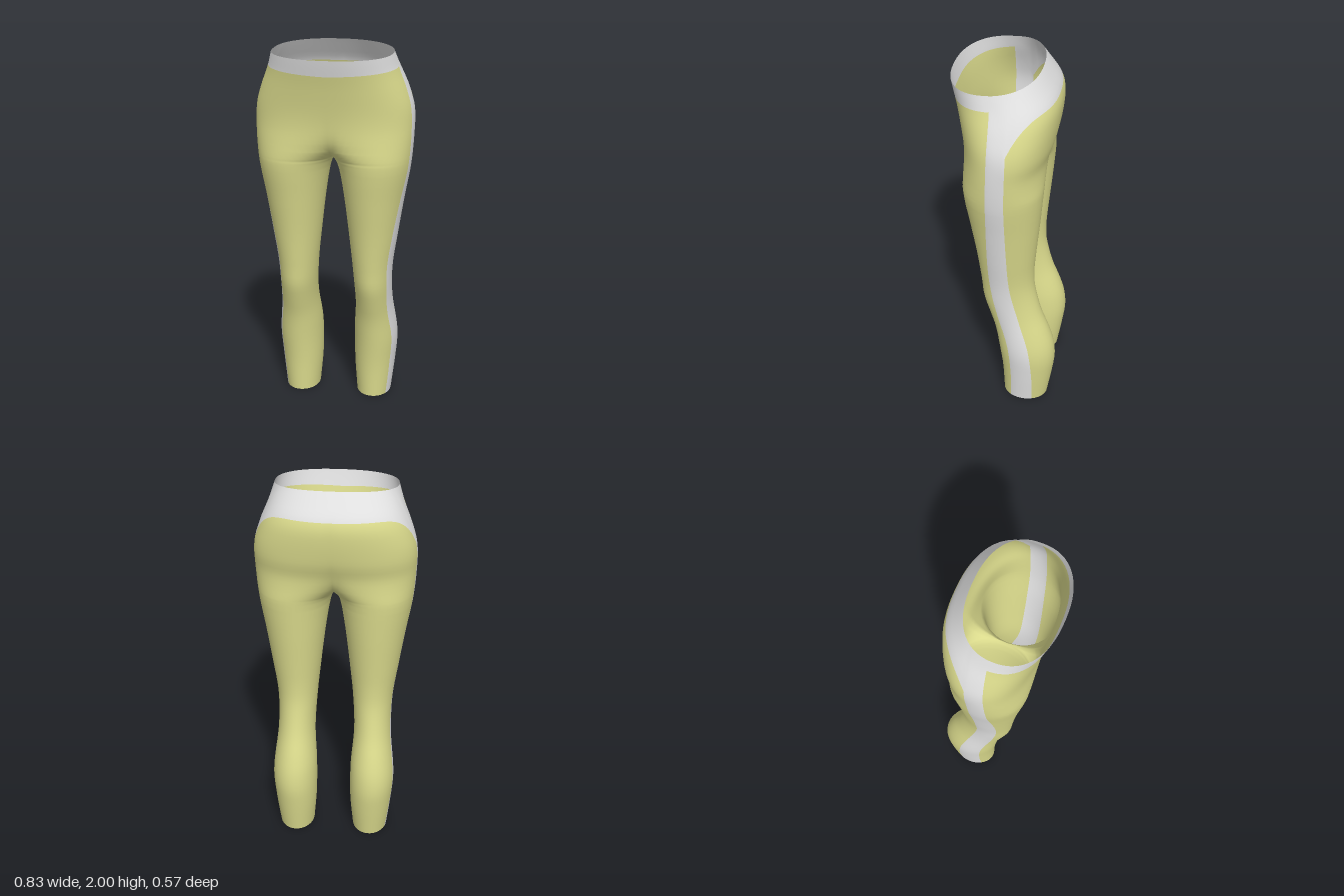
import * as THREE from 'three';
import { mergeVertices } from 'three/addons/utils/BufferGeometryUtils.js';

// Smooth curve through [y, value] knots
function curve(knots) {
  const n = knots.length - 1;
  const slope = (i) => {
    const a = knots[Math.max(0, i - 1)], b = knots[Math.min(n, i + 1)];
    return (b[1] - a[1]) / (b[0] - a[0]);
  };
  return (y) => {
    let i = 0;
    while (i < n - 1 && y > knots[i + 1][0]) i++;
    const [y0, v0] = knots[i], [y1, v1] = knots[i + 1], h = y1 - y0;
    const t = Math.min(1, Math.max(0, (y - y0) / h)), t2 = t * t, t3 = t2 * t;
    return v0 * (2 * t3 - 3 * t2 + 1) + v1 * (3 * t2 - 2 * t3) +
      h * (slope(i) * (t3 - 2 * t2 + t) + slope(i + 1) * (t3 - t2));
  };
}

// Silhouette of one leg, continuing up into half of the hips
const outer = curve([[0, .303], [.2, .325], [.36, .335], [.6, .311], [.8, .313], [1, .34],
  [1.2, .37], [1.4, .403], [1.6, .415], [1.7, .408], [1.8, .377], [1.9, .335], [2, .302]]);
const inner = curve([[0, .112], [.2, .096], [.4, .095], [.6, .108], [.8, .097], [1, .076],
  [1.2, .052], [1.34, .03], [1.39, .016], [1.42, 0], [1.46, -.05], [1.52, -.14], [1.6, -.26],
  [1.7, -.36], [1.8, -.372], [1.9, -.335], [2, -.302]]);
const front = curve([[0, 0], [.2, .01], [.4, .035], [.5, .053], [.6, .083], [.7, .112], [.8, .122],
  [1, .145], [1.2, .175], [1.4, .205], [1.62, .212], [1.8, .245], [1.96, .285], [2, .29]]);
const back = curve([[0, -.245], [.2, -.275], [.3, -.285], [.4, -.275], [.5, -.245], [.6, -.207],
  [.7, -.18], [.8, -.162], [.9, -.16], [1, -.167], [1.2, -.185], [1.4, -.2], [1.55, -.207],
  [1.65, -.237], [1.8, -.257], [1.87, -.246], [1.95, -.195], [2, -.16]]);
const squareness = curve([[0, 2], [1.3, 2], [1.8, 2.35], [2, 2.3]]);

// Front and back edges of the side stripe
const stripeFront = curve([[0, -.05], [.2, -.05], [.4, -.033], [.6, .022], [.8, .06], [1, .07],
  [1.4, .06], [1.8, .046], [2, .045]]);
const stripeBack = curve([[0, -.17], [.2, -.17], [.4, -.15], [.6, -.093], [.8, -.047], [1, -.035],
  [1.4, -.032], [1.7, -.042], [2, -.045]]);

const CROTCH = 1.42, PANEL = 16, STRIPE = 6, COLS = PANEL * 2 + STRIPE;
const STOPS = [.005, 1.36, CROTCH, 1.48, 1.6], STEPS = [40, 6, 6, 5, 10, 5];
const BAND_ROW = STEPS.slice(0, 5).reduce((a, b) => a + b);
const lerp = THREE.MathUtils.lerp;
const power = (v, p) => Math.sign(v) * Math.abs(v) ** p;

// Point on the +x half; column 0 is the front inseam, the last is the back inseam
function surfacePoint(y, col) {
  const xo = outer(y), xi = inner(y), cx = (xo + xi) / 2, rx = (xo - xi) / 2;
  const zc = (front(y) + back(y)) / 2, rz = (front(y) - back(y)) / 2, n = squareness(y);
  const reach = y <= CROTCH + 1e-6 ? Math.PI
    : Math.acos(-Math.min(1, (Math.max(0, cx) / rx) ** (n / 2)));
  const angleAt = (z) => Math.asin(THREE.MathUtils.clamp(power((z - zc) / rz, n / 2), -1, 1));
  const a = angleAt(stripeFront(y)), b = angleAt(stripeBack(y));
  let t;
  if (col <= PANEL) t = lerp(reach, a, col / PANEL);
  else if (col <= PANEL + STRIPE) t = lerp(a, b, (col - PANEL) / STRIPE);
  else t = lerp(b, -reach, (col - PANEL - STRIPE) / PANEL);
  const x = cx + rx * power(Math.cos(t), 2 / n);
  return [Math.max(0, x), y, zc + rz * power(Math.sin(t), 2 / n)];
}

// Lower edge of the waistband, dipping to meet the stripe at the back
function bandEdge(col) {
  if (col <= PANEL) return lerp(1.877, 1.903, col / PANEL);
  if (col <= PANEL + STRIPE) return lerp(1.903, 1.71, (col - PANEL) / STRIPE);
  return 1.872 - .162 * (1 - (col - PANEL - STRIPE) / PANEL) ** 6;
}

// Heights of all rows in one column
function columnHeights(col) {
  const top = 1.98 - .02 * Math.cos(Math.PI * col / COLS);
  const stops = [...STOPS, bandEdge(col), top], ys = [stops[0]];
  STEPS.forEach((k, s) => {
    for (let i = 1; i <= k; i++) ys.push(lerp(stops[s], stops[s + 1], i / k));
  });
  return ys;
}

export function createModel() {
  const fabric = new THREE.MeshStandardMaterial({ color: 0xdada8c, side: THREE.DoubleSide });
  fabric.name = 'pale yellow fabric';
  const trim = new THREE.MeshStandardMaterial({ color: 0xe2e2e2, side: THREE.DoubleSide });
  trim.name = 'light grey trim';

  // Both mirrored halves on one grid, with faces sorted by part
  const parts = { legPanels: [], sideStripes: [], waistband: [] };
  const heights = Array.from({ length: COLS + 1 }, (_, c) => columnHeights(c));
  const rows = heights[0].length, positions = [];
  for (const side of [1, -1]) {
    const base = positions.length / 3;
    const id = (r, c) => base + r * (COLS + 1) + c;
    for (let r = 0; r < rows; r++) {
      for (let c = 0; c <= COLS; c++) {
        const [x, y, z] = surfacePoint(heights[c][r], c);
        positions.push(side * x, y, z);
        if (r === rows - 1 || c === COLS) continue;
        const striped = c >= PANEL && c < PANEL + STRIPE;
        const part = r >= BAND_ROW ? 'waistband' : striped ? 'sideStripes' : 'legPanels';
        const p = id(r, c), q = id(r, c + 1), s = id(r + 1, c + 1), t = id(r + 1, c);
        parts[part].push(...(side > 0 ? [p, q, s, p, s, t] : [p, s, q, p, t, s]));
      }
    }
  }

  // Weld the seams so shading runs smoothly across them
  let shell = new THREE.BufferGeometry();
  shell.setAttribute('position', new THREE.Float32BufferAttribute(positions, 3));
  shell.setIndex(Object.values(parts).flat());
  shell = mergeVertices(shell, 1e-4);
  shell.computeVertexNormals();

  // One mesh for each part, sharing the welded vertices
  const model = new THREE.Group();
  model.name = 'leggings';
  const indices = Array.from(shell.index.array);
  let start = 0;
  for (const [name, faces] of Object.entries(parts)) {
    const geometry = new THREE.BufferGeometry();
    geometry.setAttribute('position', shell.attributes.position);
    geometry.setAttribute('normal', shell.attributes.normal);
    geometry.setIndex(indices.slice(start, start + faces.length));
    start += faces.length;
    const mesh = new THREE.Mesh(geometry, name === 'legPanels' ? fabric : trim);
    mesh.name = name;
    model.add(mesh);
  }
  return model;
}
